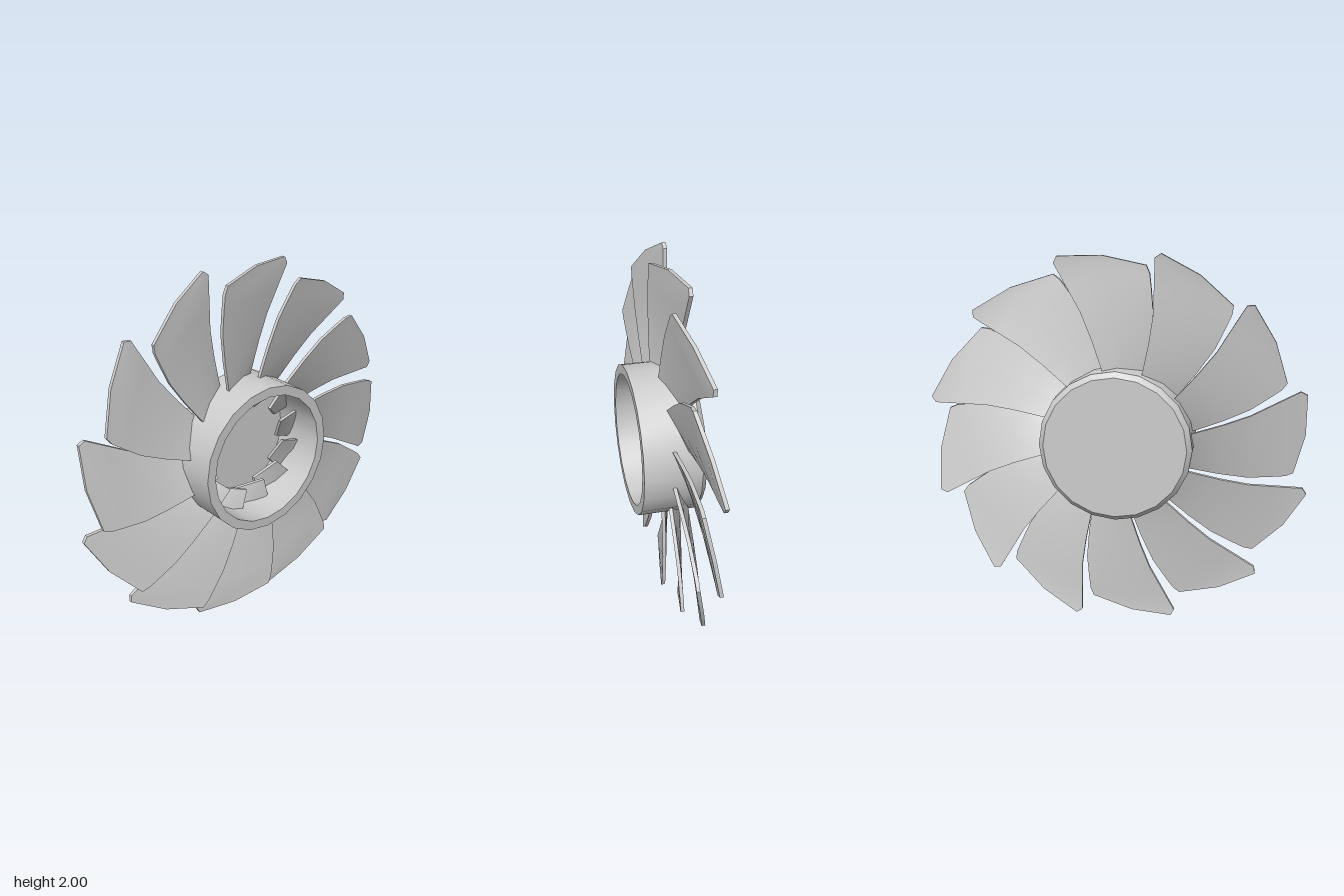
import * as THREE from 'three';
import { toCreasedNormals } from 'three/addons/utils/BufferGeometryUtils.js';

const BLADES = 12;
const SEGMENTS = 2;
const THICKNESS = 0.02;

// Blade edges from root to tip, for the blade pointing up: [x, y]
const leftEdge = [[-0.1, 0.22], [-0.144, 0.39], [-0.166, 0.54], [-0.179, 0.695], [-0.168, 0.82], [-0.16, 0.89], [-0.142, 0.932]];
const rightEdge = [[0.035, 0.265], [0.083, 0.42], [0.13, 0.56], [0.186, 0.7], [0.25, 0.815], [0.322, 0.945], [0.305, 0.98]];

// Pitched blade: front and back skins plus the rim between them
function bladeGeometry() {
  const rows = leftEdge.length;
  const point = (u, v, back) => {
    const t = u / SEGMENTS;
    const [lx, ly] = leftEdge[v];
    const [rx, ry] = rightEdge[v];
    const bulge = v === rows - 1 ? 0.108 * t * (1 - t) : 0;
    return [
      lx + (rx - lx) * t,
      ly + (ry - ly) * t + bulge,
      0.016 - 0.086 * t - (back ? THICKNESS : 0),
    ];
  };
  const positions = [];
  const quad = (a, b, c, d) => positions.push(...a, ...b, ...c, ...a, ...c, ...d);

  for (let v = 0; v < rows - 1; v++) {
    for (let u = 0; u < SEGMENTS; u++) {
      quad(point(u, v), point(u + 1, v), point(u + 1, v + 1), point(u, v + 1));
      quad(point(u + 1, v, true), point(u, v, true), point(u, v + 1, true), point(u + 1, v + 1, true));
    }
  }

  // Rim, walking the outline counter-clockwise
  const outline = [];
  for (let u = 0; u < SEGMENTS; u++) outline.push([u, 0]);
  for (let v = 0; v < rows - 1; v++) outline.push([SEGMENTS, v]);
  for (let u = SEGMENTS; u > 0; u--) outline.push([u, rows - 1]);
  for (let v = rows - 1; v > 0; v--) outline.push([0, v]);
  outline.forEach(([u, v], i) => {
    const [u2, v2] = outline[(i + 1) % outline.length];
    quad(point(u, v, true), point(u2, v2, true), point(u2, v2), point(u, v));
  });

  const geometry = new THREE.BufferGeometry();
  geometry.setAttribute('position', new THREE.Float32BufferAttribute(positions, 3));
  return toCreasedNormals(geometry, 0.5);
}

// Hollow cup with a chamfered closed back
function hubGeometry() {
  const profile = [
    [0, -0.166], [0.38, -0.166], [0.407, -0.139], [0.407, 0.165],
    [0.356, 0.165], [0.356, -0.135], [0, -0.135],
  ].map(([r, y]) => new THREE.Vector2(r, y));
  const geometry = new THREE.LatheGeometry(profile, 20);
  geometry.rotateX(Math.PI / 2);
  return toCreasedNormals(geometry, 0.5);
}

export function createModel() {
  const grey = new THREE.MeshStandardMaterial({ color: 0xcccccc });
  grey.name = 'grey';

  const fan = new THREE.Group();
  fan.name = 'fan';

  const hub = new THREE.Mesh(hubGeometry(), grey);
  hub.name = 'hub';
  hub.position.y = 1;
  fan.add(hub);

  // Ring of blades, their roots reaching through the hub wall
  const blades = new THREE.Group();
  blades.name = 'blades';
  blades.position.y = 1;
  const geometry = bladeGeometry();
  for (let i = 0; i < BLADES; i++) {
    const blade = new THREE.Mesh(geometry, grey);
    blade.name = 'blade';
    blade.rotation.z = (i / BLADES) * Math.PI * 2;
    blades.add(blade);
  }
  fan.add(blades);

  return fan;
}
